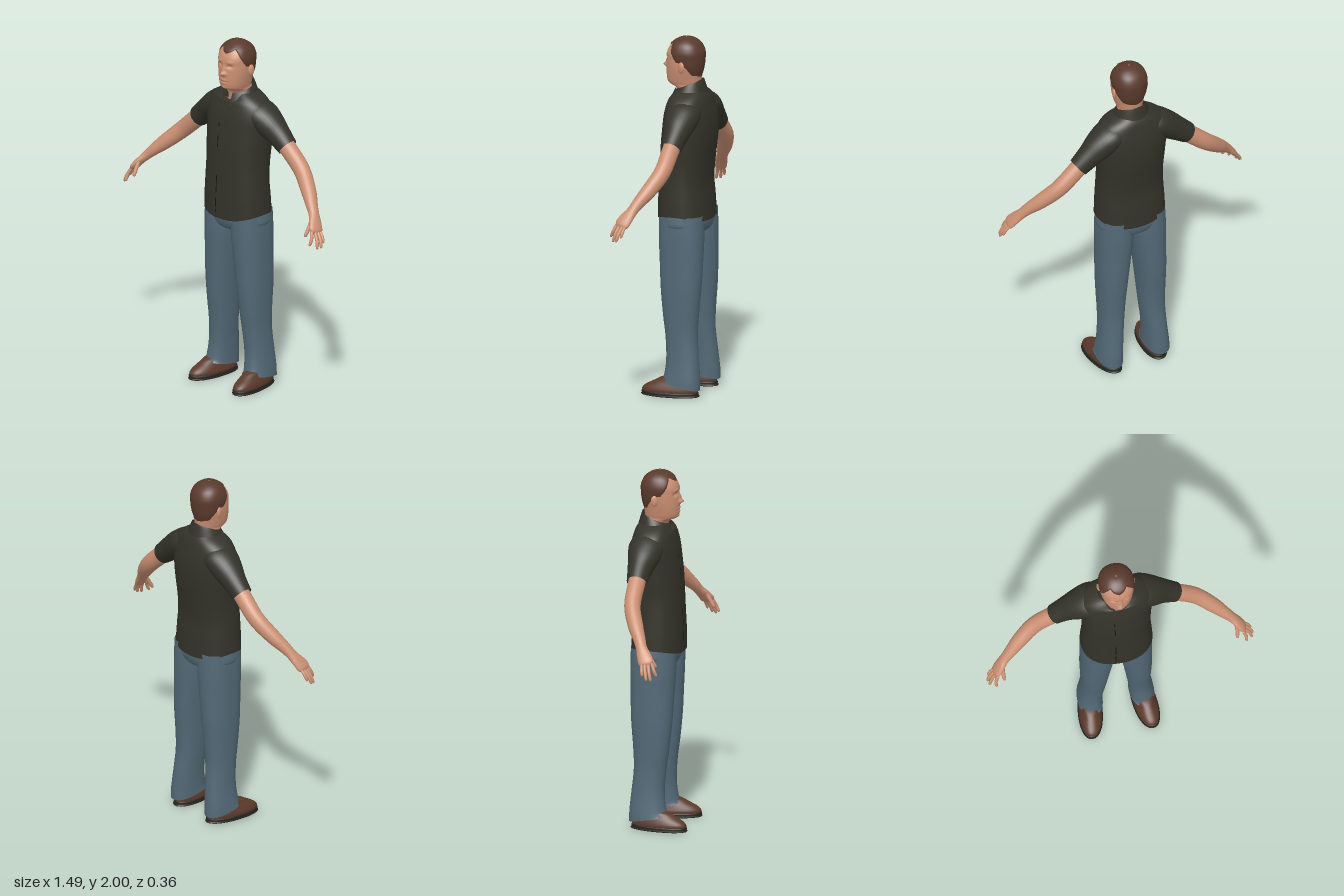
import * as THREE from 'three';

const mat = (name, color, side = THREE.FrontSide) => {
  const m = new THREE.MeshStandardMaterial({ color, side });
  m.name = name;
  return m;
};

// Catmull-Rom through rows of numbers; t is a row index
function spline(rows, t) {
  const n = rows.length - 1;
  const i = Math.min(Math.floor(t), n - 1), f = t - i;
  const [a, b, c, d] = [-1, 0, 1, 2].map((k) => rows[Math.min(Math.max(i + k, 0), n)]);
  return b.map((_, k) => b[k] + 0.5 * f * (c[k] - a[k]
    + f * (2 * a[k] - 5 * b[k] + 4 * c[k] - d[k] + f * (3 * (b[k] - c[k]) + d[k] - a[k]))));
}

// Surface from fn(u, v) -> [x, y, z], u and v in 0..1; closed joins u ends
function grid(fn, nu, nv, closed = true) {
  const pos = [], idx = [], w = closed ? nu : nu + 1;
  for (let j = 0; j <= nv; j++) for (let i = 0; i < w; i++) pos.push(...fn(i / nu, j / nv));
  for (let j = 0; j < nv; j++) for (let i = 0; i < nu; i++) {
    const a = j * w + i, b = j * w + (i + 1) % w;
    idx.push(a, b, b + w, a, b + w, a + w);
  }
  const g = new THREE.BufferGeometry();
  g.setAttribute('position', new THREE.Float32BufferAttribute(pos, 3));
  g.setIndex(idx);
  g.computeVertexNormals();
  return g;
}

// Point on a horizontal ring: row = [y, centreX, halfWidth, frontZ, backZ]
const pw = (v, p) => Math.sign(v) * Math.abs(v) ** p;
function ring(row, a, p = 1) {
  const [y, cx, hw, f, b] = row;
  return [cx + hw * pw(Math.sin(a), p), y, (f + b) / 2 + (f - b) / 2 * pw(Math.cos(a), p)];
}
const stack = (rows, p, tweak = (q) => q, nu = 40, sub = 4) => grid((u, v) => {
  const t = v * (rows.length - 1), a = u * Math.PI * 2;
  return tweak(ring(spline(rows, t), a, p), t, a);
}, nu, (rows.length - 1) * sub);

// Tube along rows [x, y, z, thickness, breadth]; breadth lies towards z
function limb(rows, nu = 20, sub = 5) {
  const n = rows.length - 1;
  return grid((u, v) => {
    const t = v * n, r = spline(rows, t), a = u * Math.PI * 2;
    const p0 = spline(rows, Math.max(t - 0.05, 0)), p1 = spline(rows, Math.min(t + 0.05, n));
    const T = new THREE.Vector3(p1[0] - p0[0], p1[1] - p0[1], p1[2] - p0[2]).normalize();
    const A = new THREE.Vector3(0, 0, 1).cross(T).normalize(), B = T.clone().cross(A);
    const q = new THREE.Vector3(r[0], r[1], r[2])
      .addScaledVector(A, r[3] * Math.cos(a)).addScaledVector(B, r[4] * Math.sin(a));
    return q.toArray();
  }, nu, n * sub);
}

function mirrorX(geo) {
  const g = geo.clone().scale(-1, 1, 1), ix = g.index.array;
  for (let i = 0; i < ix.length; i += 3) [ix[i], ix[i + 1]] = [ix[i + 1], ix[i]];
  g.computeVertexNormals();
  return g;
}

export function createModel() {
  const model = new THREE.Group();
  model.name = 'standingMan';
  const skin = mat('skin', 0xcb9072), hair = mat('hair', 0x5a3a2c, THREE.DoubleSide);
  const cloth = mat('shirtCloth', 0x33332a, THREE.DoubleSide), dark = mat('buttonGap', 0x14140f, THREE.DoubleSide);
  const denim = mat('denim', 0x526976, THREE.DoubleSide);
  const leather = mat('shoeLeather', 0x5c3a2a), rubber = mat('soleRubber', 0x262720, THREE.DoubleSide);
  const add = (name, geo, m) => {
    const mesh = new THREE.Mesh(geo, m);
    mesh.name = name;
    model.add(mesh);
  };
  const pair = (name, geo, m) => {
    add('left' + name, geo, m);
    add('right' + name, mirrorX(geo), m);
  };

  // Head and neck, with the face shaped by soft bumps [x, y, sizeX, sizeY, depth]
  const headRows = [
    [1.62, 0, 0.075, 0.025, -0.1], [1.7, 0, 0.07, 0.033, -0.1], [1.725, 0, 0.07, 0.05, -0.098],
    [1.74, 0, 0.07, 0.084, -0.097], [1.76, 0, 0.076, 0.094, -0.098], [1.8, 0, 0.085, 0.097, -0.103],
    [1.84, 0, 0.092, 0.096, -0.111], [1.88, 0, 0.095, 0.094, -0.115], [1.92, 0, 0.095, 0.09, -0.114],
    [1.96, 0, 0.08, 0.068, -0.096], [1.985, 0, 0.053, 0.036, -0.065], [1.996, 0, 0.025, 0.008, -0.036],
    [1.998, 0, 0, -0.014, -0.014]];
  const bumps = [
    [0, 1.832, 0.011, 0.012, 0.024], [0, 1.856, 0.008, 0.02, 0.012], [0.014, 1.828, 0.007, 0.008, 0.007],
    [0.036, 1.876, 0.016, 0.01, -0.012], [0.036, 1.9, 0.022, 0.008, 0.004], [0, 1.793, 0.02, 0.005, 0.006],
    [0, 1.783, 0.024, 0.003, -0.004], [0, 1.774, 0.018, 0.005, 0.005], [0, 1.748, 0.018, 0.01, 0.005]];
  const headPoint = (t, a, out = 0) => {
    const row = spline(headRows, t);
    const [x, y, z] = ring([row[0] + out * 0.7, 0, row[2] + out, row[3] + out, row[4] - out], a, 0.92);
    let dz = 0;
    if (Math.cos(a) > 0) for (const [bx, by, sx, sy, d] of bumps)
      dz += d * Math.exp(-(((Math.abs(x) - bx) / sx) ** 2) - ((y - by) / sy) ** 2);
    return [x, y, z + dz];
  };
  add('headAndNeck', grid((u, v) => headPoint(v * 12, u * Math.PI * 2), 72, 110), skin);

  // Hair cap: from the hairline [degrees from front, head row] up to the crown
  const hairline = [[0, 8.55], [20, 8.9], [35, 9.3], [50, 8.6], [62, 7.8], [80, 6.8], [95, 6.7],
    [110, 6], [130, 5], [180, 4.6]];
  const hairStart = (deg) => {
    const i = Math.max(1, hairline.findIndex((h) => h[0] >= deg - 1e-6));
    const [a, b] = [hairline[i - 1], hairline[i]];
    return a[1] + (b[1] - a[1]) * (deg - a[0]) / (b[0] - a[0]);
  };
  add('hair', grid((u, v) => {
    const t0 = hairStart(180 - Math.abs(180 - u * 360));
    return headPoint(t0 + (12 - t0) * v, u * Math.PI * 2, 0.0035 * Math.min(1, v * 12));
  }, 72, 36), hair);
  pair('Ear', new THREE.SphereGeometry(1, 14, 10).scale(0.011, 0.032, 0.02)
    .rotateY(-0.3).translate(0.096, 1.845, -0.022), skin);

  // Shirt body with curved hem and a neckline dipping at the front
  const torso = [
    [1, 0, 0.2, 0.127, -0.165], [1.1, 0, 0.197, 0.125, -0.158], [1.2, 0, 0.192, 0.12, -0.15],
    [1.3, 0, 0.189, 0.116, -0.158], [1.4, 0, 0.194, 0.111, -0.17], [1.5, 0, 0.2, 0.1, -0.175],
    [1.58, 0, 0.205, 0.088, -0.167], [1.64, 0, 0.193, 0.072, -0.153], [1.68, 0, 0.15, 0.06, -0.14],
    [1.71, 0, 0.09, 0.046, -0.122]];
  add('shirtBody', stack(torso, 0.85, ([x, y, z], t, a) => [x,
    y + Math.max(0, 1 - t) * (0.035 * Math.sin(a) ** 2 - 0.015)
      - Math.max(0, t - 7.5) / 1.5 * 0.045 * Math.max(0, Math.cos(a)) ** 6, z], 48), cloth);

  // Dark gaps along the buttoned front edge: [centre height, length]
  for (const [y, len] of [[1.53, 0.025], [1.43, 0.07], [1.18, 0.1], [1.08, 0.05], [1.03, 0.02]]) {
    add('buttonGap', grid((u, v) => {
      const q = ring(spline(torso, (y - 1 + (v - 0.5) * len) * 10), -0.12 + u * 0.025, 0.85);
      return [q[0], q[1], q[2] + 0.003];
    }, 1, 6, false), dark);
  }

  // Folded collar, open at the front: stand, fold and falling flap
  add('collar', grid((u, v) => {
    const a = 0.22 + u * (Math.PI * 2 - 0.44), f = (1 + Math.cos(a)) / 2, f3 = f ** 3;
    const q = spline([
      [1.7 - 0.03 * f, 0, 0.074, 0.04, -0.106],
      [1.765 - 0.06 * f, 0, 0.08, 0.043, -0.108],
      [1.76 - 0.06 * f, 0, 0.087, 0.05, -0.114],
      [1.7 - 0.06 * f3, 0, 0.105, 0.076, -0.132]], v * 3);
    return ring(q, a);
  }, 48, 12, false), cloth);

  // Sleeves, arms, hands
  pair('Sleeve', limb([[0.08, 1.61, -0.05, 0.06, 0.085], [0.14, 1.595, -0.052, 0.076, 0.1],
    [0.205, 1.55, -0.056, 0.078, 0.088], [0.27, 1.5, -0.06, 0.068, 0.068],
    [0.337, 1.445, -0.06, 0.058, 0.056]], 28), cloth);
  pair('Arm', limb([[0.27, 1.495, -0.06, 0.05, 0.048], [0.35, 1.43, -0.061, 0.05, 0.047],
    [0.45, 1.34, -0.056, 0.048, 0.045], [0.54, 1.255, -0.015, 0.042, 0.042],
    [0.6, 1.197, 0.022, 0.032, 0.034], [0.635, 1.16, 0.042, 0.025, 0.031],
    [0.665, 1.125, 0.063, 0.02, 0.039], [0.692, 1.088, 0.084, 0.015, 0.039],
    [0.7, 1.075, 0.089, 0, 0]], 24), skin);
  const digit = (a, b, r, bend) => limb([
    [...a, r, r],
    [...a.map((v, i) => (v + b[i]) / 2 + (i === 0 ? bend : 0)), r, r],
    [...a.map((v, i) => v * 0.1 + b[i] * 0.9), r * 0.8, r * 0.8], [...b, 0, 0]], 10, 4);
  [['Thumb', [0.653, 1.13, 0.085], [0.65, 1.055, 0.13], 0.011, 0.002],
    ['IndexFinger', [0.685, 1.09, 0.112], [0.7, 1.018, 0.143], 0.0095, 0.006],
    ['MiddleFinger', [0.692, 1.088, 0.094], [0.735, 1, 0.118], 0.0095, 0.006],
    ['RingFinger', [0.694, 1.088, 0.075], [0.744, 1.003, 0.096], 0.0095, 0.006],
    ['LittleFinger', [0.69, 1.092, 0.058], [0.737, 1.025, 0.07], 0.0085, 0.006],
  ].forEach(([name, a, b, r, bend]) => pair(name, digit(a, b, r, bend), skin));

  // Trousers: hips and two legs, hems raised over the shoes
  add('trouserHips', stack([[0.9, 0, 0.01, 0, -0.05], [0.915, 0, 0.1, 0.075, -0.13],
    [0.95, 0, 0.19, 0.098, -0.152], [1, 0, 0.197, 0.106, -0.156], [1.07, 0, 0.185, 0.1, -0.14]], 0.85), denim);
  pair('TrouserLeg', stack([
    [0.04, 0.144, 0.069, 0.075, -0.15], [0.1, 0.142, 0.067, 0.058, -0.149], [0.2, 0.135, 0.064, 0.045, -0.14],
    [0.33, 0.126, 0.067, 0.052, -0.128], [0.45, 0.122, 0.073, 0.068, -0.132], [0.6, 0.117, 0.082, 0.083, -0.144],
    [0.75, 0.108, 0.09, 0.092, -0.15], [0.9, 0.1, 0.098, 0.1, -0.153], [1.02, 0.098, 0.095, 0.1, -0.15],
  ], 0.88, ([x, y, z], t, a) => [x, y + Math.max(0, 1 - t) * 0.045 * (1 + Math.cos(a)) / 2, z]), denim);

  // Shoes, toes turned slightly outwards
  const turn = ([x, y, z]) => [x + 0.1 * z, y, z];
  pair('Shoe', stack([[0.015, 0.15, 0.062, 0.172, -0.134], [0.035, 0.15, 0.063, 0.176, -0.135],
    [0.055, 0.15, 0.058, 0.158, -0.134], [0.08, 0.149, 0.05, 0.112, -0.13],
    [0.105, 0.148, 0.042, 0.06, -0.12], [0.115, 0.148, 0, -0.03, -0.03]], 0.9, turn), leather);
  pair('ShoeSole', stack([[0, 0.15, 0, 0.02, 0.02], [0, 0.15, 0.063, 0.168, -0.132],
    [0.012, 0.15, 0.067, 0.178, -0.138], [0.024, 0.15, 0.066, 0.178, -0.138],
    [0.026, 0.15, 0.058, 0.17, -0.13]], 0.9, turn), rubber);
  return model;
}
